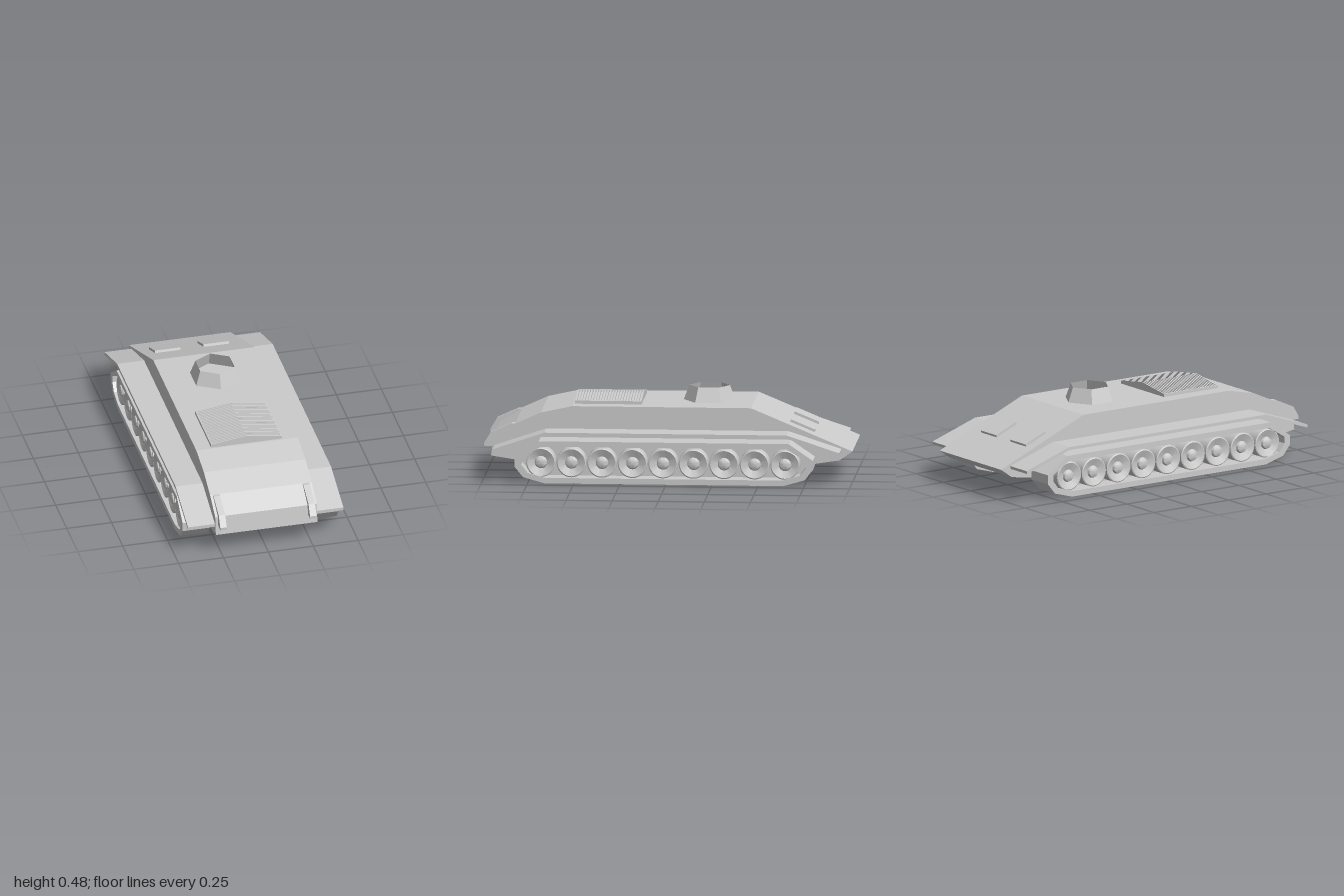
import * as THREE from 'three';
import { toCreasedNormals } from 'three/addons/utils/BufferGeometryUtils.js';

const HULL = 0.283, OUTER = 0.433;

const flat = new THREE.MeshStandardMaterial({ color: 0xcccccc, flatShading: true });
const smooth = new THREE.MeshStandardMaterial({ color: 0xcccccc });
const thin = new THREE.MeshStandardMaterial({ color: 0xcccccc, flatShading: true, side: THREE.DoubleSide });

function add(parent, name, geometry, material = flat) {
  const mesh = new THREE.Mesh(geometry, material);
  mesh.name = name;
  parent.add(mesh);
  return mesh;
}

const outline = (points) => points.map(([a, b]) => new THREE.Vector2(a, b));

// Extrudes a side profile of [z, y] points from x0 to x1
function sideExtrude(points, x0, x1, hole) {
  const shape = new THREE.Shape(outline(points));
  if (hole) shape.holes.push(new THREE.Path(outline(hole)));
  const geometry = new THREE.ExtrudeGeometry(shape, { depth: x1 - x0, bevelEnabled: false });
  return geometry.rotateY(-Math.PI / 2).translate(x1, 0, 0);
}

// Completes a front half profile with its rear mirror image
const mirrorEnds = (half) => [...half, ...half.map(([z, y]) => [-z, y]).reverse()];

function buildRunningGear(side) {
  const group = new THREE.Group();
  group.name = side > 0 ? 'leftRunningGear' : 'rightRunningGear';
  const range = (a, b) => (side > 0 ? [a, b] : [-b, -a]);

  // Track loop and the wall behind the wheels
  const outer = mirrorEnds([[0.66, 0], [0.775, 0.032], [0.822, 0.09], [0.822, 0.14], [0.69, 0.23]])
    .map(([z, y]) => [z < 0 ? z + 0.025 : z, y]);
  const inner = mirrorEnds([[0.655, 0.03], [0.75, 0.056], [0.785, 0.1], [0.785, 0.137], [0.68, 0.2]])
    .map(([z, y]) => [z < 0 ? z + 0.025 : z, y]);
  add(group, 'track', sideExtrude(outer, ...range(HULL, OUTER + 0.001), inner));
  add(group, 'trackInnerWall', sideExtrude(inner, ...range(HULL, 0.335)));

  // Bent fender plate
  const fender = [
    [0.94, 0.183], [0.66, 0.277], [-0.655, 0.277], [-0.94, 0.183],
    [-0.935, 0.166], [-0.655, 0.26], [0.66, 0.26], [0.94, 0.166],
  ];
  add(group, 'fender', sideExtrude(fender, ...range(HULL, OUTER)));

  // Row of dished road wheels
  const profile = outline([
    [0, -0.075], [0.08, -0.075], [0.08, 0], [0.074, 0.003],
    [0.034, -0.012], [0.029, 0], [0.022, 0.004], [0, 0.005],
  ]);
  const wheel = toCreasedNormals(new THREE.LatheGeometry(profile, 28), 0.5).rotateZ(-side * Math.PI / 2);
  for (let i = 0; i < 9; i++) {
    add(group, 'roadWheel', wheel, smooth).position.set(side * 0.418, 0.112, 0.68 - i * 0.1655);
  }

  // Bent tow bracket on the bow
  const bracket = [
    [0.825, 0.3], [0.85, 0.3], [0.965, 0.248], [1, 0.19],
    [1, 0.175], [0.955, 0.175], [0.94, 0.228],
  ];
  add(group, 'towBracket', sideExtrude(bracket, ...range(0.232, 0.268)));
  return group;
}

function buildGrille() {
  const group = new THREE.Group();
  group.name = 'engineGrille';
  const z0 = 0.15, z1 = 0.51, half = 0.198;

  // Gabled cross-section with variable roof height
  const gable = (edge, ridge, base, depth, z) => {
    const shape = new THREE.Shape(outline([
      [-half, base], [half, base], [half, edge], [0, ridge], [-half, edge],
    ]));
    return new THREE.ExtrudeGeometry(shape, { depth, bevelEnabled: false }).translate(0, 0, z);
  };
  add(group, 'grilleBase', gable(0.405, 0.433, 0.395, z1 - z0, z0));

  // Louvre slats running from the ridge to both edges
  const count = 25, pitch = (z1 - z0) / (count - 0.4);
  for (let i = 0; i < count; i++) {
    add(group, 'louvreSlat', gable(0.417, 0.445, 0.396, pitch * 0.6, z0 + i * pitch));
  }

  // Side rails closing the slats
  for (const s of [-1, 1]) {
    const rail = add(group, 'grilleRail', new THREE.BoxGeometry(0.01, 0.021, z1 - z0));
    rail.position.set(s * (half - 0.005), 0.4065, (z0 + z1) / 2);
  }
  return group;
}

export function createModel() {
  const model = new THREE.Group();
  model.name = 'trackedVehicle';

  // Hull
  const hull = [
    [0.64, 0.075], [0.96, 0.125], [0.945, 0.23], [0.83, 0.3], [0.69, 0.363], [0.52, 0.4],
    [-0.45, 0.4], [-1, 0.17], [-0.93, 0.12], [-0.64, 0.075],
  ];
  add(model, 'hull', sideExtrude(hull, -HULL, HULL));

  for (const side of [1, -1]) model.add(buildRunningGear(side));
  model.add(buildGrille());

  // Open six-sided cupola
  const cupola = new THREE.CylinderGeometry(0.11, 0.14, 0.08, 6, 1, true);
  add(model, 'cupola', cupola, thin).position.set(0, 0.44, -0.205);

  // Raised hatch plates on the rear slope
  const slope = Math.atan2(0.23, 0.55);
  for (const x of [-0.151, 0.119]) {
    const hatch = add(model, 'rearHatch', new THREE.BoxGeometry(0.142, 0.02, 0.145));
    hatch.position.set(x, 0.29, -0.723);
    hatch.rotation.x = -slope;
  }
  return model;
}
